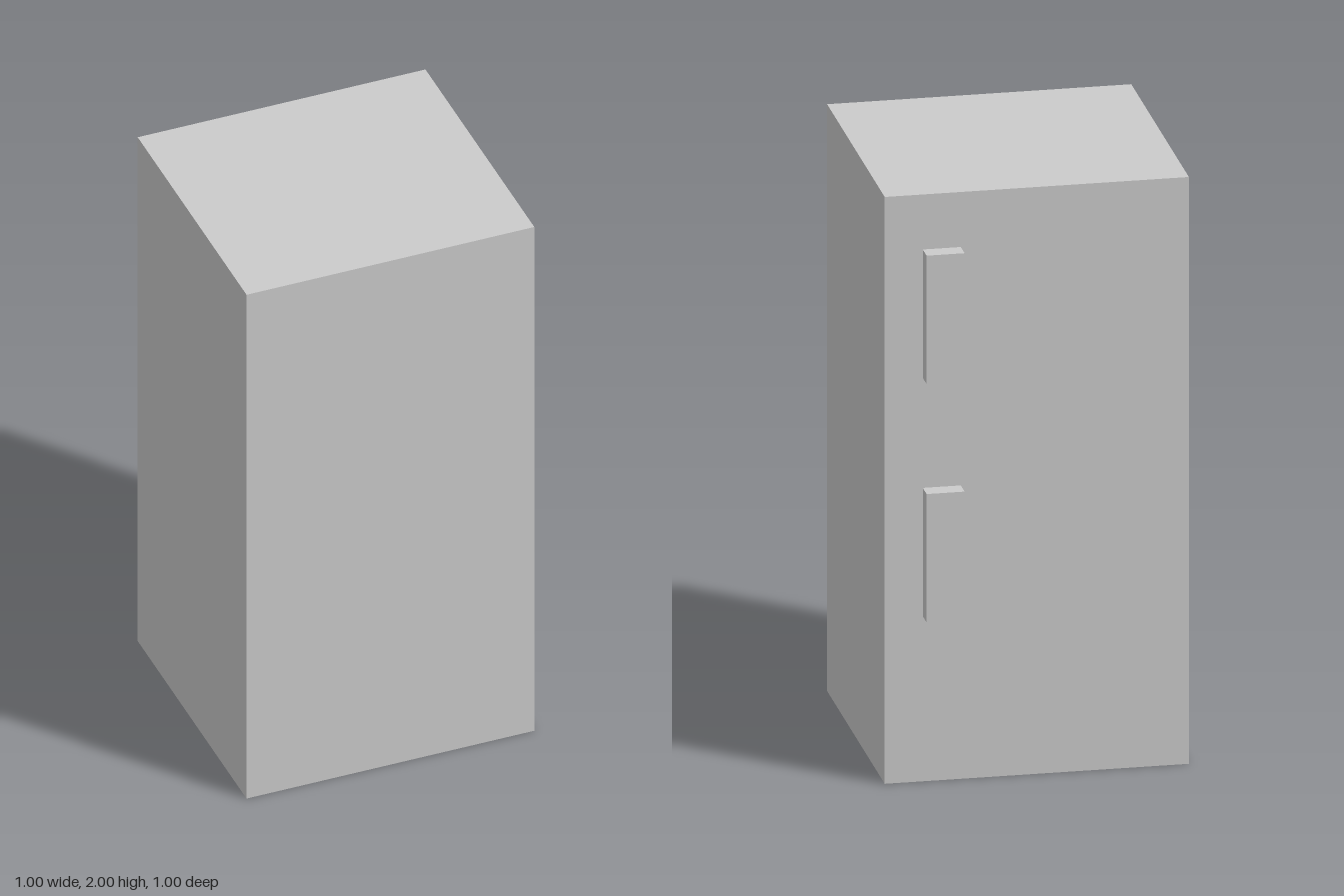
import * as THREE from 'three';

const material = new THREE.MeshStandardMaterial({ color: 0xcccccc, flatShading: true });

// Box spanning two opposite corners
function addBox(group, name, min, max) {
  const size = max.map((v, i) => v - min[i]);
  const mesh = new THREE.Mesh(new THREE.BoxGeometry(...size), material);
  mesh.position.set(...max.map((v, i) => (v + min[i]) / 2));
  mesh.name = name;
  group.add(mesh);
}

export function createModel() {
  const group = new THREE.Group();
  group.name = 'refrigerator';
  const backZ = -0.4375;

  // Cabinet
  addBox(group, 'cabinet', [-0.5, 0, backZ], [0.5, 2, 0.5]);

  // Two upright handles on the rear face
  const handles = [['upperHandle', 1.375], ['lowerHandle', 0.5625]];
  for (const [name, y] of handles) {
    addBox(group, name, [0.25, y, -0.5], [0.375, y + 0.4375, backZ]);
  }
  return group;
}
